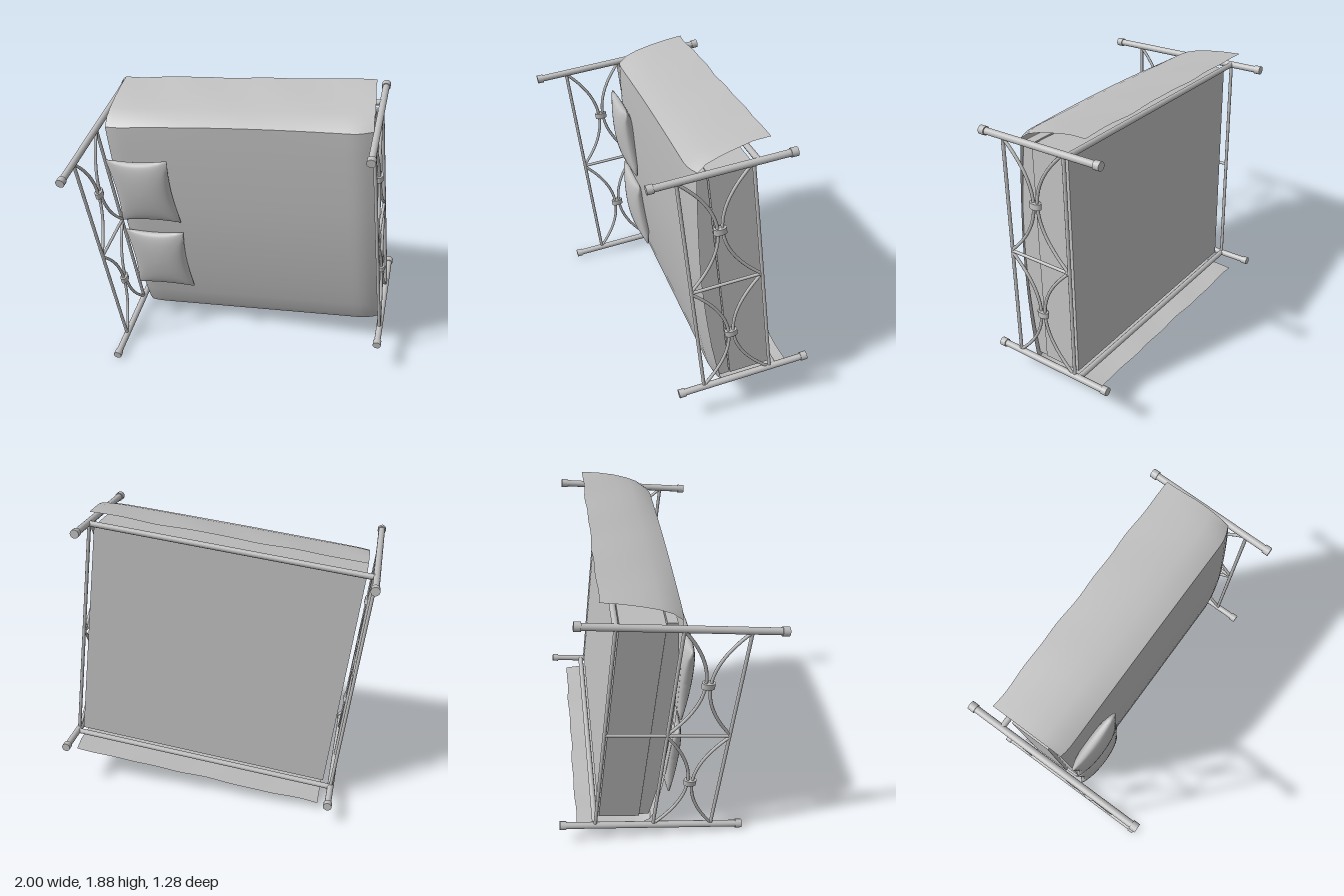
import * as THREE from 'three';
import { toCreasedNormals } from 'three/addons/utils/BufferGeometryUtils.js';

// Local bed frame: x = head to foot, y = across the width, z = up from the floor.
const LENGTH = 1.747, WIDTH = 1.494;
const V3 = (x, y, z) => new THREE.Vector3(x, y, z);

export function createModel() {
  const grey = new THREE.MeshStandardMaterial({ color: 0xbfbfbf });
  grey.name = 'grey';
  const greyCloth = new THREE.MeshStandardMaterial({ color: 0xbfbfbf, side: THREE.DoubleSide });
  greyCloth.name = 'grey cloth';

  const bed = new THREE.Group();
  bed.name = 'bed';
  const add = (name, geometry, parent = bed, material = grey) => {
    const mesh = new THREE.Mesh(geometry, material);
    mesh.name = name;
    parent.add(mesh);
    return mesh;
  };
  const bar = (name, a, b, radius, parent) =>
    add(name, new THREE.TubeGeometry(new THREE.LineCurve3(a, b), 1, radius, 10), parent);

  // Upright post with a collar at each end
  const post = (name, x, y, height, parent) => {
    const upright = (label, r, z0, z1) =>
      add(label, new THREE.CylinderGeometry(r, r, z1 - z0, 16).rotateX(Math.PI / 2), parent)
        .position.set(x, y, (z0 + z1) / 2);
    upright(name, 0.021, 0.01, height - 0.01);
    upright(name + 'Foot', 0.027, 0, 0.04);
    upright(name + 'Cap', 0.027, height - 0.04, height);
  };

  // End panel: two posts, cross rails, a centre rod and two pairs of arched rods
  const endPanel = (name, x, height, top, low, rails) => {
    const panel = new THREE.Group();
    panel.name = name;
    bed.add(panel);
    post('lowerPost', x, 0, height, panel);
    post('upperPost', x, WIDTH, height, panel);
    for (const z of rails) bar('crossRail', V3(x, 0, z), V3(x, WIDTH, z), 0.011, panel);
    bar('centreRod', V3(x, WIDTH / 2, rails[0]), V3(x, WIDTH / 2, top), 0.01, panel);
    const mid = (top + low) / 2;
    for (const start of [0, WIDTH / 2]) {
      const y0 = start + 0.01, y1 = start + WIDTH / 2 - 0.01, yc = (y0 + y1) / 2;
      for (const [edge, side] of [[top, 1], [low, -1]]) {
        const touch = mid + side * 0.014;
        const arch = new THREE.QuadraticBezierCurve3(
          V3(x, y0, edge), V3(x, yc, 2 * touch - edge), V3(x, y1, edge));
        add('archedRod', new THREE.TubeGeometry(arch, 24, 0.01, 8), panel);
      }
      const clamp = add('clamp', new THREE.CylinderGeometry(0.04, 0.04, 0.038, 16), panel);
      clamp.position.set(x, yc, mid);
      clamp.scale.x = 0.6;
    }
  };
  endPanel('headboard', 0, 1.156, 0.955, 0.585, [0.22, 0.585, 0.955]);
  endPanel('footboard', LENGTH, 0.85, 0.685, 0.265, [0.25, 0.685]);

  // Side rails and box base
  for (const y of [0, WIDTH]) bar('sideRail', V3(0, y, 0.22), V3(LENGTH, y, 0.22), 0.018);
  add('boxBase', new THREE.BoxGeometry(1.66, 1.455, 0.255)).position.set(0.885, WIDTH / 2, 0.3725);

  // Domed mattress
  const dome = new THREE.Shape();
  dome.moveTo(0.015, 0.505);
  dome.lineTo(1.48, 0.505);
  dome.lineTo(1.48, 0.565);
  dome.quadraticCurveTo(WIDTH / 2, 0.68, 0.015, 0.565);
  dome.closePath();
  const mattress = new THREE.ExtrudeGeometry(dome, { depth: 1.63, bevelEnabled: false, curveSegments: 16 });
  mattress.applyMatrix4(new THREE.Matrix4().makeBasis(V3(0, 1, 0), V3(0, 0, 1), V3(1, 0, 0)));
  add('mattress', toCreasedNormals(mattress, 0.6)).position.x = 0.075;

  // Quilt: a sheet following a cross-section, hanging down both sides
  const section = [
    [-0.07, 0.11], [-0.066, 0.22], [-0.06, 0.36], [-0.053, 0.48], [-0.04, 0.55], [-0.02, 0.588],
    [0.03, 0.606], [0.14, 0.621], [0.28, 0.634], [0.45, 0.643], [0.6, 0.647], [0.75, 0.648],
    [0.9, 0.644], [1.05, 0.636], [1.2, 0.626], [1.35, 0.614], [1.45, 0.604], [1.508, 0.596],
    [1.545, 0.54], [1.568, 0.46], [1.583, 0.36], [1.595, 0.24], [1.602, 0.13]];
  const nu = 40, nv = section.length - 1;
  const quilt = new THREE.PlaneGeometry(1, 1, nu, nv);
  const qp = quilt.attributes.position;
  for (let j = 0; j <= nv; j++) {
    for (let i = 0; i <= nu; i++) {
      const t = i / nu, [y, z] = section[j];
      const hang = Math.min(1, Math.max(0, (0.59 - z) / 0.5));
      const end = Math.max(0, (t - 0.92) / 0.08), head = Math.max(0, (0.06 - t) / 0.06);
      const x = 0.064 + (1.668 - 0.025 * hang) * t + 0.008 * end * hang * Math.sin(j * 1.7);
      const ripple = hang * (0.003 * Math.sin(t * 19 + j) + 0.006 * end * Math.sin(j * 1.3));
      const bow = 0.02 * Math.sin(Math.PI * t) * Math.exp(-(((y - 1.508) / 0.03) ** 2));
      const drop = (1 - hang) * (0.035 * end * end + 0.012 * head * head);
      const hem = hang * 0.006 * Math.sin(t * 23) * Math.sin(t * 9 + 1);
      qp.setXYZ(j * (nu + 1) + i, x, y + ripple + bow, z - drop + hem);
    }
  }
  // Rows run across +y, so flip the winding to face outward
  const order = quilt.index.array;
  for (let k = 0; k < order.length; k += 3) [order[k], order[k + 1]] = [order[k + 1], order[k]];
  add('quilt', toCreasedNormals(quilt, 0.45), bed, greyCloth);

  // Pillows: spheres squared off, with pinched corners and hollow sides
  const pillow = (x, y, turn) => {
    const g = new THREE.SphereGeometry(1, 40, 24).rotateX(Math.PI / 2);
    const p = g.attributes.position;
    for (let i = 0; i < p.count; i++) {
      const r = Math.hypot(p.getX(i), p.getY(i)), h = p.getZ(i);
      const m = Math.max(Math.abs(p.getX(i)), Math.abs(p.getY(i))) || 1;
      const a = r * p.getX(i) / m, b = r * p.getY(i) / m;
      const px = a * (0.184 + 0.022 * b * b), py = b * (0.224 + 0.022 * a * a);
      const puff = Math.sqrt(Math.max(0, (1 - a * a) * (1 - b * b)));
      p.setXYZ(i, px, py, Math.sign(h) * (0.056 * Math.pow(puff, 0.9) + 0.004 * Math.min(1, Math.abs(h) * 8)));
    }
    g.computeVertexNormals();
    const mesh = add('pillow', g);
    mesh.position.set(x, y, 0.663);
    mesh.rotation.z = turn;
  };
  pillow(0.257, 1.068, 0.01);
  pillow(0.257, 0.488, -0.01);

  // Tip the bed so that its top faces the front
  const U = V3(0.993, 0.103, 0.057).normalize();
  const V = V3(-0.104, 0.991, 0.087);
  const W = new THREE.Vector3().crossVectors(U, V).normalize();
  V.crossVectors(W, U);
  bed.applyMatrix4(new THREE.Matrix4().makeBasis(U, V, W).setPosition(-0.765, 0.13, -0.64));

  const model = new THREE.Group();
  model.name = 'tippedBed';
  model.add(bed);
  return model;
}
